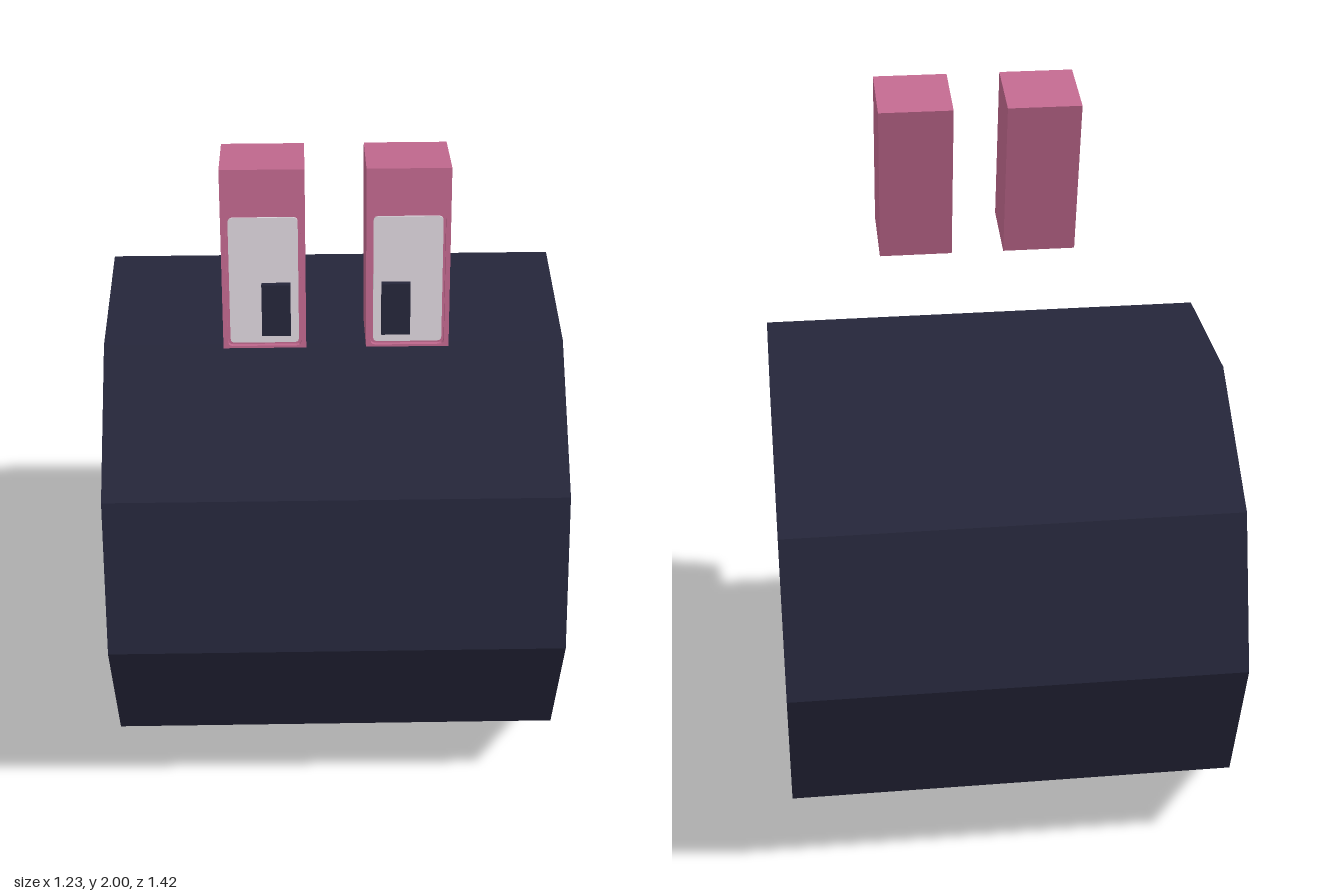
import * as THREE from 'three';

const material = (name, color) => {
  const m = new THREE.MeshStandardMaterial({ color, flatShading: true });
  m.name = name;
  return m;
};

const R = 0.708, HALF = 0.617, AXIS_Y = 0.674, SIDES = 10;

// Ten-sided outline with corners on the horizontal axis
function decagon(radius, Type) {
  const pts = [];
  for (let i = 0; i < SIDES; i++) {
    const a = (i / SIDES) * Math.PI * 2;
    pts.push(new THREE.Vector2(Math.cos(a) * radius, Math.sin(a) * radius));
  }
  return new Type(pts);
}

// Rounded rectangle centred on (0, cy)
function roundedRect(Type, w, h, cy, r) {
  const s = new Type(), x = w / 2, b = cy - h / 2, t = cy + h / 2;
  s.moveTo(-x + r, b);
  s.lineTo(x - r, b).quadraticCurveTo(x, b, x, b + r);
  s.lineTo(x, t - r).quadraticCurveTo(x, t, x - r, t);
  s.lineTo(-x + r, t).quadraticCurveTo(-x, t, -x, t - r);
  s.lineTo(-x, b + r).quadraticCurveTo(-x, b, -x + r, b);
  return s;
}

export function createModel() {
  const model = new THREE.Group();
  model.name = 'rollerWithEyes';
  const navy = material('navy', 0x25263a);
  const pink = material('pink', 0xc2698f);
  const white = material('paleGrey', 0xded6de);

  const add = (parent, name, geometry, mat, x = 0, y = 0, z = 0) => {
    const mesh = new THREE.Mesh(geometry, mat);
    mesh.name = name;
    mesh.position.set(x, y, z);
    parent.add(mesh);
    return mesh;
  };

  // Wheel tread: thick ten-sided tube along x
  const ring = decagon(R, THREE.Shape);
  ring.holes.push(decagon(0.557, THREE.Path));
  const tread = new THREE.ExtrudeGeometry(ring, { depth: HALF * 2, bevelEnabled: false });
  tread.translate(0, 0, -HALF).rotateY(Math.PI / 2);
  add(model, 'tread', tread, navy, 0, AXIS_Y);

  // Recessed wheel discs and hub caps on both ends
  for (const side of [1, -1]) {
    const disc = new THREE.CylinderGeometry(0.557, 0.557, 0.04, SIDES).rotateZ(Math.PI / 2);
    add(model, 'wheelDisc', disc, pink, side * 0.43, AXIS_Y);
    const hub = new THREE.CylinderGeometry(0.103, 0.103, 0.08, SIDES).rotateZ(Math.PI / 2);
    add(model, 'hubCap', hub, white, side * 0.472, AXIS_Y);
  }

  // Floating eye blocks, leaning back
  const W = 0.208, H = 0.47, D = 0.204, LIP = 0.012, CY = -0.057;
  for (const side of [1, -1]) {
    const eye = new THREE.Group();
    eye.name = side > 0 ? 'leftEye' : 'rightEye';
    eye.position.set(side * 0.179, 1.749, 0.362);
    eye.rotation.x = -0.205;
    model.add(eye);

    add(eye, 'eyeBlock', new THREE.BoxGeometry(W, H, D - LIP), pink, 0, 0, -LIP / 2);

    // Front frame with a shallow rounded opening
    const frame = new THREE.Shape([
      new THREE.Vector2(-W / 2, -H / 2), new THREE.Vector2(W / 2, -H / 2),
      new THREE.Vector2(W / 2, H / 2), new THREE.Vector2(-W / 2, H / 2),
    ]);
    frame.holes.push(roundedRect(THREE.Path, 0.184, 0.344, CY, 0.012));
    const frameGeo = new THREE.ExtrudeGeometry(frame, { depth: LIP, bevelEnabled: false, curveSegments: 3 });
    add(eye, 'eyeFrame', frameGeo, pink, 0, 0, D / 2 - LIP);

    // Pale eye plate and dark pupil
    const plate = new THREE.ExtrudeGeometry(
      roundedRect(THREE.Shape, 0.172, 0.332, CY, 0.012),
      { depth: 0.005, bevelEnabled: false, curveSegments: 3 });
    add(eye, 'eyePlate', plate, white, 0, 0, D / 2 - LIP);
    add(eye, 'pupil', new THREE.BoxGeometry(0.072, 0.136, 0.02), navy, -side * 0.03, -0.13, D / 2 + 0.001);
  }

  return model;
}
